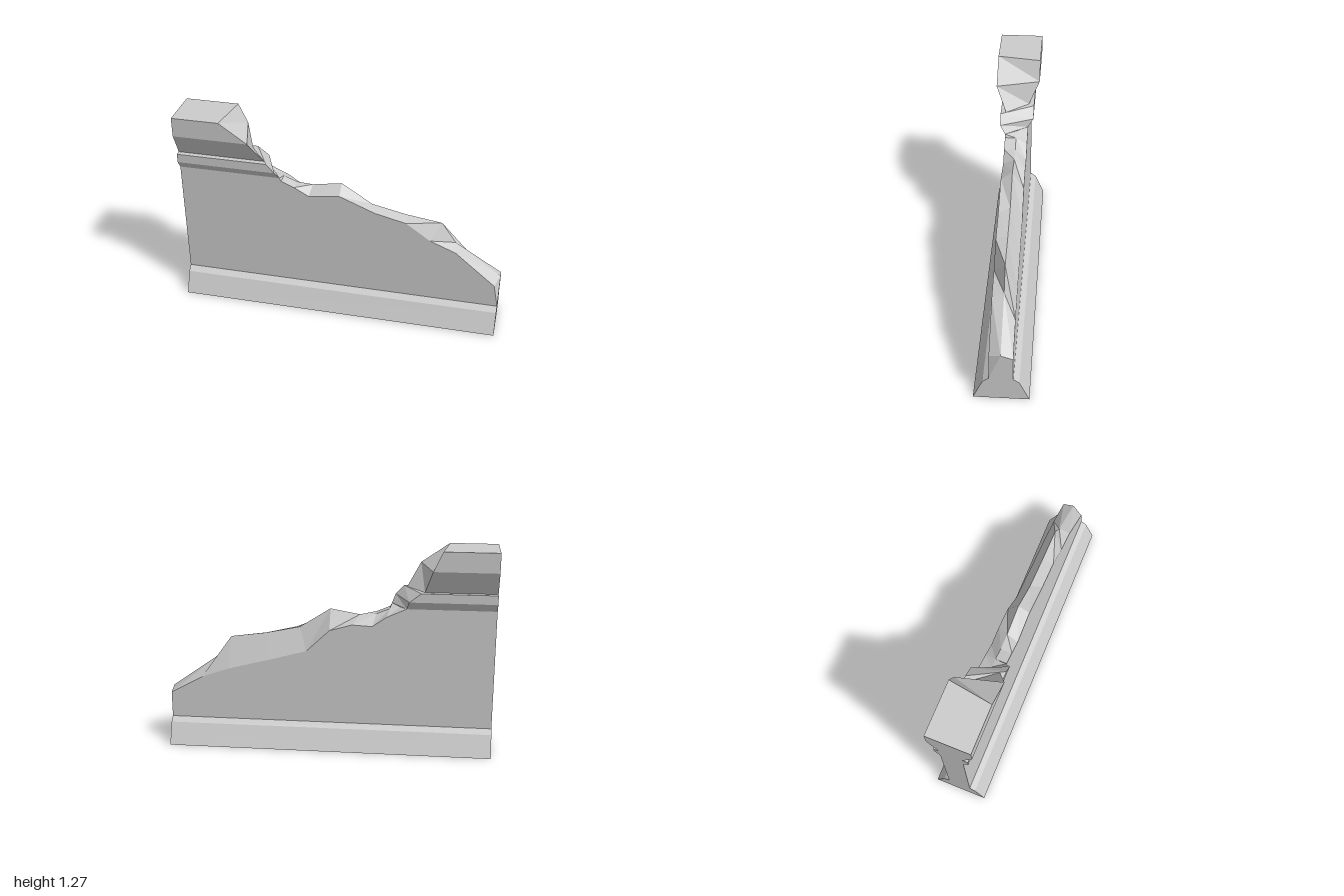
import * as THREE from 'three';

const V = (x, y, z) => new THREE.Vector3(x, y, z);
const T = 0.07; // half thickness of the wall

// Flat faceted surface between two polylines of equal length
function strip(a, b) {
  const p = [];
  for (let i = 0; i < a.length - 1; i++) {
    p.push(a[i], a[i + 1], b[i + 1], a[i], b[i + 1], b[i]);
  }
  return faceted(p);
}

function faceted(points) {
  const g = new THREE.BufferGeometry().setFromPoints(points);
  g.computeVertexNormals();
  return g;
}

const flat = (pts) => new THREE.ShapeGeometry(new THREE.Shape(pts.map(([x, y]) => new THREE.Vector2(x, y))));

// Moulding profiles: height, half depth
const BASE = [[0, 0.163], [0.133, 0.105], [0.16, T]];
const CAP = [[0.905, T], [0.955, 0.103], [1.01, 0.103], [1.01, T], [1.15, 0.134], [1.27, 0.134]];
// Where each cap level breaks off, front and back
const CAP_FRONT = [-0.37, -0.39, -0.44, -0.46, -0.54, -0.71];
const CAP_BACK = [-0.464, -0.48, -0.55, -0.57, -0.615, -0.67];

// Broken top of the wall: front edge, middle ridge, back edge
const FRONT = [[-0.37, 0.905], [-0.36, 0.885], [-0.28, 0.85], [-0.19, 0.8], [0, 0.825],
  [0.22, 0.735], [0.41, 0.69], [0.56, 0.585], [0.72, 0.52], [0.97, 0.31]];
const RIDGE = [[-0.42, 0.9], [-0.36, 0.885], [-0.28, 0.852], [-0.18, 0.845], [0, 0.877],
  [0.19, 0.755], [0.4, 0.71], [0.62, 0.68], [0.71, 0.55], [1, 0.345]];
const BACK = [[-0.464, 0.905], [-0.345, 0.85], [-0.26, 0.79], [-0.137, 0.796], [0, 0.756],
  [0.143, 0.62], [0.38, 0.555], [0.63, 0.49], [0.8, 0.43], [1, 0.32]];

export function createModel() {
  const stone = new THREE.MeshStandardMaterial({ color: 0xcccccc, side: THREE.DoubleSide });
  stone.name = 'grey stone';
  const model = new THREE.Group();
  model.name = 'brokenWall';
  const add = (name, geometry) => {
    const mesh = new THREE.Mesh(geometry, stone);
    mesh.name = name;
    model.add(mesh);
  };

  // Bands of a moulding along one side of the wall
  const moulding = (name, levels, ends, side) => {
    for (let i = 0; i < levels.length - 1; i++) {
      const row = (k) => [V(-1, levels[k][0], side * levels[k][1]), V(ends[k], levels[k][0], side * levels[k][1])];
      add(name, side > 0 ? strip(row(i), row(i + 1)) : strip(row(i + 1), row(i)));
    }
  };
  for (const side of [1, -1]) {
    moulding('baseMoulding', BASE, [1, 1, 1], side);
    moulding('capMoulding', CAP, side > 0 ? CAP_FRONT : CAP_BACK, side);
  }

  // Wall faces
  add('wallFront', flat([[-1, 0.16], [1, 0.16], ...[...FRONT].reverse(), [-1, 0.905]]).translate(0, 0, T));
  const mirrored = [[-1, 0.16], [1, 0.16], ...[...BACK].reverse(), [-1, 0.905]].map(([x, y]) => [-x, y]);
  add('wallBack', flat(mirrored).rotateY(Math.PI).translate(0, 0, -T));

  // Rubble facets along the broken top
  const at = (row, z) => row.map(([x, y]) => V(x, y, z));
  const front = at(FRONT, T), ridge = at(RIDGE, 0), back = at(BACK, -T);
  add('brokenTopFront', strip(front, ridge));
  add('brokenTopBack', strip(ridge, back));

  // Broken end and top of the cap
  const capFront = CAP.map(([y, z], i) => V(CAP_FRONT[i], y, z)).reverse();
  const capBack = CAP.map(([y, z], i) => V(CAP_BACK[i], y, -z)).reverse();
  add('capBrokenEnd', strip(capFront, capBack));
  add('capJoint', faceted([front[0], ridge[0], back[0]]));
  add('capTop', strip([V(-1, 1.27, 0.134), capFront[0]], [V(-1, 1.27, -0.134), capBack[0]]));

  // Low right end of the wall, with its chipped front corner
  const f = front[9], r = ridge[9], b = back[9];
  const lowFront = V(1, 0.16, T), lowBack = V(1, 0.16, -T);
  add('wallRightEnd', faceted([lowFront, r, f, lowFront, b, r, lowFront, lowBack, b]));

  // Flat ends cut to the full profile
  const section = (levels) => flat([
    ...levels.map(([y, z]) => [z, y]),
    ...[...levels].reverse().map(([y, z]) => [-z, y]),
  ]);
  add('leftEnd', section([...BASE, ...CAP]).rotateY(-Math.PI / 2).translate(-1, 0, 0));
  add('baseRightEnd', section(BASE).rotateY(Math.PI / 2).translate(1, 0, 0));

  return model;
}
